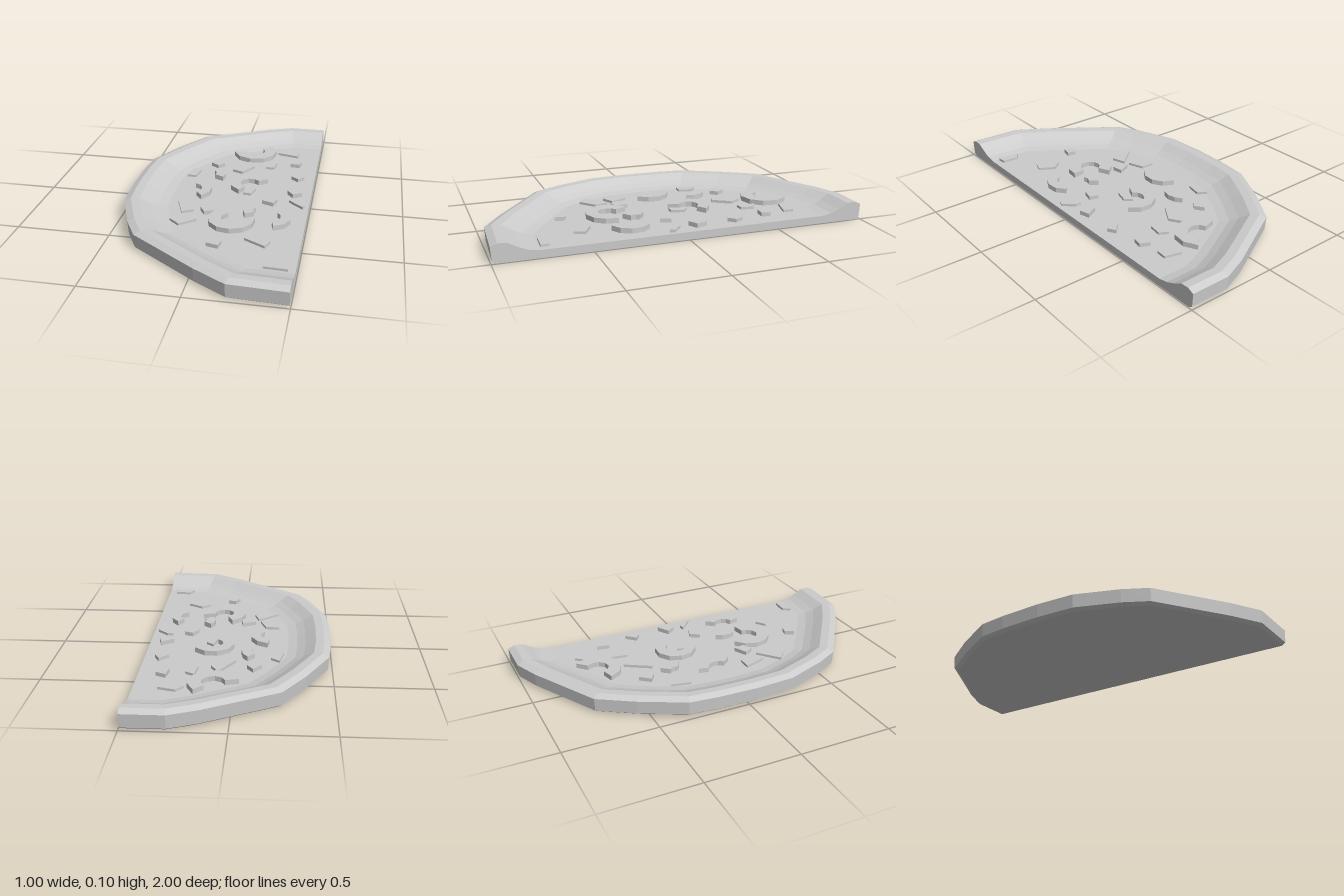
import * as THREE from 'three';

const CUT = 0.495; // x of the straight cut face

export function createModel() {
  const group = new THREE.Group();
  const mat = new THREE.MeshStandardMaterial({ color: 0xcccccc, flatShading: true });
  const add = (geo, name) => {
    const mesh = new THREE.Mesh(geo, mat);
    mesh.name = name;
    group.add(mesh);
  };

  // Rim outline (x, z) from the back of the cut round to the front
  const outline = [
    [CUT, -1], [0.28, -1], [0.14, -0.945], [-0.24, -0.745], [-0.36, -0.56], [-0.48, -0.33],
    [-0.495, -0.18], [-0.5, 0.05], [-0.487, 0.26], [-0.4, 0.49], [-0.33, 0.62],
    [0.03, 0.88], [0.2, 0.985], [CUT, 1],
  ];
  // Crust section: scale towards the middle of the cut, height
  const section = [
    [0, 0], [0.975, 0], [0.995, 0.014], [1, 0.085], [0.965, 0.1], [0.92, 0.098],
    [0.865, 0.068], [0.82, 0.05], [0.77, 0.041], [0, 0.04],
  ];
  const pos = [];
  const point = ([x, z], [s, y]) => [CUT + (x - CUT) * s, y, z * s];
  for (let j = 0; j < section.length - 1; j++) {
    for (let i = 0; i < outline.length - 1; i++) {
      const a = point(outline[i], section[j]), b = point(outline[i + 1], section[j]);
      const c = point(outline[i], section[j + 1]), d = point(outline[i + 1], section[j + 1]);
      if (section[j][0] > 0) pos.push(...a, ...b, ...c);
      if (section[j + 1][0] > 0) pos.push(...b, ...d, ...c);
    }
  }
  const body = new THREE.BufferGeometry();
  body.setAttribute('position', new THREE.Float32BufferAttribute(pos, 3));
  body.computeVertexNormals();
  add(body, 'crustAndBase');

  // Flat cut face
  const rim = section.slice(1, -1);
  const face = new THREE.Shape([
    ...rim.map(([s, y]) => new THREE.Vector2(s, y)),
    ...rim.slice().reverse().map(([s, y]) => new THREE.Vector2(-s, y)),
  ]);
  add(new THREE.ShapeGeometry(face).rotateY(Math.PI / 2).translate(CUT, 0, 0), 'cutFace');

  // Toppings: flat shapes in x, z pulled down from their top height
  const topping = (shape, x, z, angle, top, name) => {
    const geo = new THREE.ExtrudeGeometry(shape, { depth: top - 0.035, bevelEnabled: false, curveSegments: 1 });
    geo.rotateZ(THREE.MathUtils.degToRad(angle)).rotateX(Math.PI / 2).translate(x, top, z);
    add(geo, name);
  };

  // Curved slices: x, z, outer radius, inner radius, start and end in degrees
  [
    [0.1, -0.61, 0.13, 0.06, -45, 165],
    [0.14, -0.135, 0.115, 0.055, 115, 325],
    [0.11, 0.315, 0.125, 0.055, -10, 245],
    [-0.175, -0.01, 0.115, 0.06, -80, 50],
    [0.31, 0.26, 0.11, 0.055, -55, 75],
    [-0.12, -0.23, 0.1, 0.045, -50, 25],
    [0.25, 0.2, 0.095, 0.04, 145, 220],
  ].forEach(([x, z, ro, ri, a0, a1]) => {
    const n = Math.ceil((a1 - a0) / 35), outer = [], inner = [];
    for (let k = 0; k <= n; k++) {
      const a = THREE.MathUtils.degToRad(a0 + (a1 - a0) * k / n);
      outer.push(new THREE.Vector2(ro * Math.cos(a), ro * Math.sin(a)));
      inner.unshift(new THREE.Vector2(ri * Math.cos(a), ri * Math.sin(a)));
    }
    topping(new THREE.Shape([...outer, ...inner]), x, z, 0, 0.068, 'curvedSlice');
  });

  // Tapered pieces: x, z, length, width, angle in degrees, top height
  [
    [0.31, -0.645, 0.13, 0.055, 15, 0.054], [0.225, -0.45, 0.1, 0.05, 98, 0.054],
    [0.37, -0.49, 0.07, 0.055, 100, 0.062], [-0.09, -0.4, 0.07, 0.055, 130, 0.062],
    [0.075, -0.38, 0.16, 0.065, 122, 0.056], [-0.21, -0.26, 0.11, 0.05, 102, 0.054],
    [0.405, -0.29, 0.07, 0.05, 135, 0.06], [0.15, -0.07, 0.1, 0.045, 105, 0.054],
    [0.41, -0.075, 0.08, 0.06, 150, 0.064], [0.28, 0.05, 0.07, 0.06, 20, 0.062],
    [0.43, 0.05, 0.11, 0.025, 42, 0.054], [-0.16, 0.19, 0.13, 0.07, 70, 0.054],
    [-0.03, 0.215, 0.08, 0.06, 155, 0.062], [-0.13, 0.335, 0.15, 0.075, 140, 0.054],
    [0.28, 0.5, 0.13, 0.06, 30, 0.054], [0.07, 0.57, 0.065, 0.055, 15, 0.062],
    [0.4, 0.73, 0.12, 0.045, 3, 0.054],
  ].forEach(([x, z, l, w, angle, top]) => {
    const quad = [[-0.5, 0.5], [0.5, 0.5], [0.42, -0.5], [-0.3, -0.5]];
    const shape = new THREE.Shape(quad.map(([u, v]) => new THREE.Vector2(u * l, v * w)));
    topping(shape, x, z, angle, top, 'choppedPiece');
  });

  return group;
}
